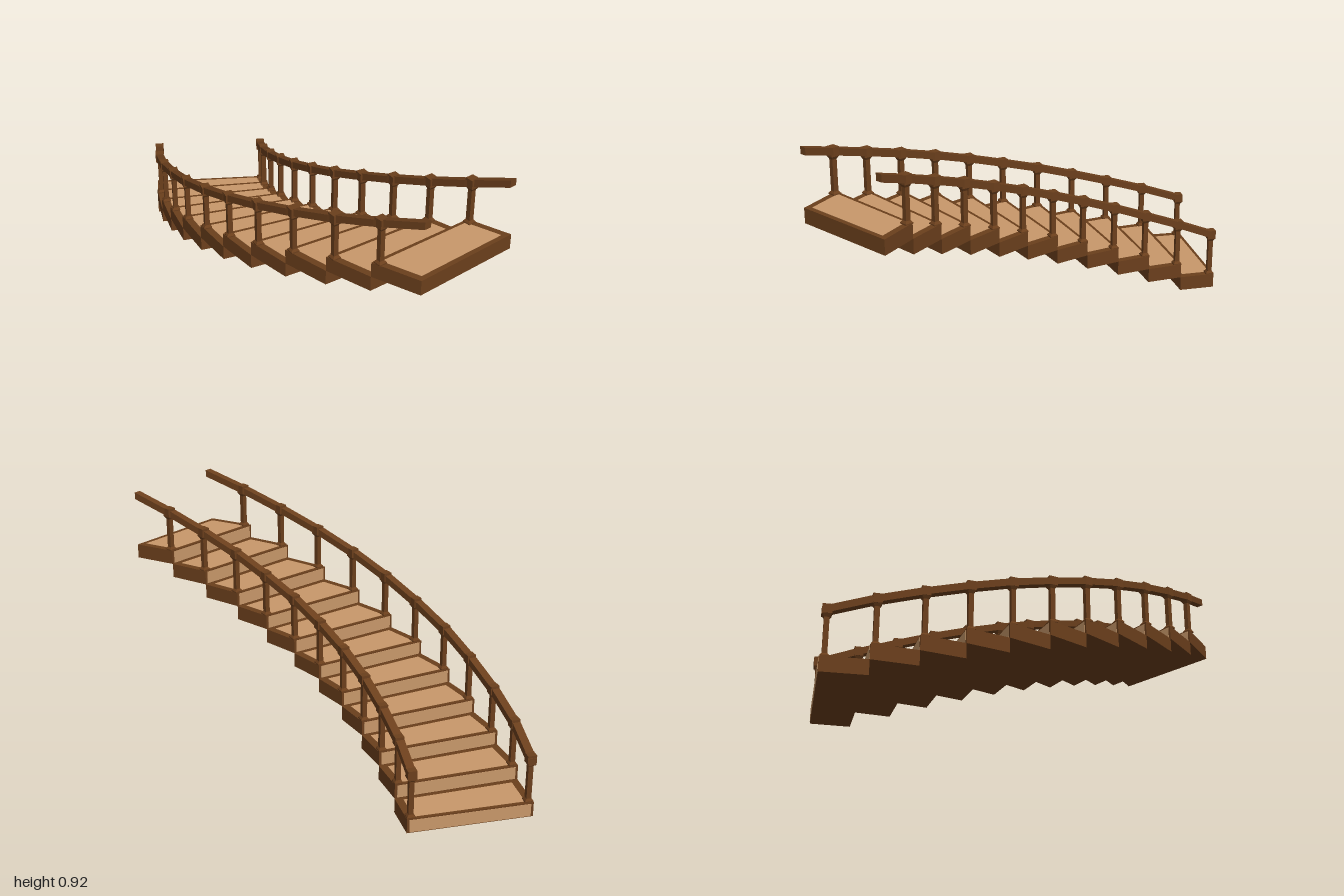
import * as THREE from 'three';
import { mergeGeometries } from 'three/addons/utils/BufferGeometryUtils.js';

const STEPS = 11, RISE = 0.0614;
// plan of the curved flight: [x, z] of both edges at every step line
const OUTER = [[-1, -0.032], [-0.861, 0.08], [-0.706, 0.175], [-0.545, 0.253], [-0.378, 0.32], [-0.198, 0.37],
  [-0.016, 0.405], [0.173, 0.425], [0.37, 0.428], [0.572, 0.415], [0.77, 0.388], [0.968, 0.345]];
const INNER = [[-0.683, -0.427], [-0.561, -0.335], [-0.428, -0.255], [-0.294, -0.187], [-0.15, -0.13], [0, -0.088],
  [0.155, -0.058], [0.316, -0.045], [0.481, -0.041], [0.652, -0.052], [0.824, -0.075], [1, -0.11]];

const wood = new THREE.MeshStandardMaterial({ color: 0x6b3f1c });
const paleWood = new THREE.MeshStandardMaterial({ color: 0xc8986a });

// plan point: u along step i, v from the inner edge (0) to the outer edge (1)
function plan(i, u, v) {
  const mix = THREE.MathUtils.lerp;
  const at = (edge, k) => mix(edge[i][k], edge[i + 1][k], u);
  return [0, 1].map(k => mix(at(INNER, k), at(OUTER, k), v));
}

// box bent to the plan of step i, raised by slope * u along its length
function block(i, [u0, u1], [v0, v1], [y0, y1], slope = 0) {
  const g = new THREE.BoxGeometry(1, 1, 1);
  const p = g.attributes.position;
  for (let n = 0; n < p.count; n++) {
    const u = p.getX(n) < 0 ? u0 : u1;
    const [x, z] = plan(i, u, p.getZ(n) < 0 ? v0 : v1);
    p.setXYZ(n, x, (p.getY(n) < 0 ? y0 : y1) + slope * u, z);
  }
  g.computeVertexNormals();
  return g;
}

// square tapered piece, given half widths at the top and bottom
function taper(top, bottom, y0, y1) {
  return new THREE.CylinderGeometry(top * Math.SQRT2, bottom * Math.SQRT2, y1 - y0, 4)
    .rotateY(Math.PI / 4).translate(0, (y0 + y1) / 2, 0).toNonIndexed();
}

const RAIL_SLOPE = 0.06;
const railY = s => 0.241 + RAIL_SLOPE * s;

// baluster with flared foot, flared neck and a block around the rail
function balusterGeometry(height) {
  const g = mergeGeometries([
    taper(0.017, 0.017, 0, 0.005),
    taper(0.01, 0.017, 0.005, 0.014),
    taper(0.01, 0.01, 0.014, height - 0.03),
    taper(0.017, 0.01, height - 0.03, height - 0.018),
    taper(0.018, 0.018, height - 0.018, height + 0.019),
  ]);
  g.computeVertexNormals();
  return g;
}

export function createModel() {
  const model = new THREE.Group();
  const add = (parent, name, geometry, material) => {
    const mesh = new THREE.Mesh(geometry, material);
    mesh.name = name;
    parent.add(mesh);
    return mesh;
  };

  // steps: dark body with pale tread and riser panels
  for (let i = 0; i < STEPS; i++) {
    const step = new THREE.Group();
    step.name = `step${i + 1}`;
    const y0 = i * RISE, y1 = y0 + RISE;
    add(step, 'stepBody', block(i, [0, 1], [0, 1], [y0, y1]), wood);
    add(step, 'treadPanel', block(i, [0.08, 0.89], [0.06, 0.94], [y1 - 0.004, y1 + 0.001]), paleWood);
    add(step, 'riserPanel', block(i, [-0.007, 0.02], [0.02, 0.98], [y0 + 0.003, y1 - 0.005]), paleWood);
    model.add(step);
  }

  // one railing along each edge
  for (const [name, v] of [['innerRailing', 0.035], ['outerRailing', 0.965]]) {
    const railing = new THREE.Group();
    railing.name = name;
    const rail = [];
    for (let i = 0; i < STEPS; i++) {
      const y = railY(i);
      rail.push(block(i, [0, 1], [v - 0.032, v + 0.032], [y - 0.015, y + 0.015], RAIL_SLOPE));

      const foot = (i + 1) * RISE;
      const post = add(railing, 'baluster', balusterGeometry(railY(i + 0.11) - foot), wood);
      const [x, z] = plan(i, 0.11, v);
      const [ax, az] = plan(i, 0.11, 0), [bx, bz] = plan(i, 0.11, 1);
      post.position.set(x, foot, z);
      post.rotation.y = Math.atan2(bx - ax, bz - az);
    }
    add(railing, 'handrail', mergeGeometries(rail), wood);
    model.add(railing);
  }
  return model;
}
